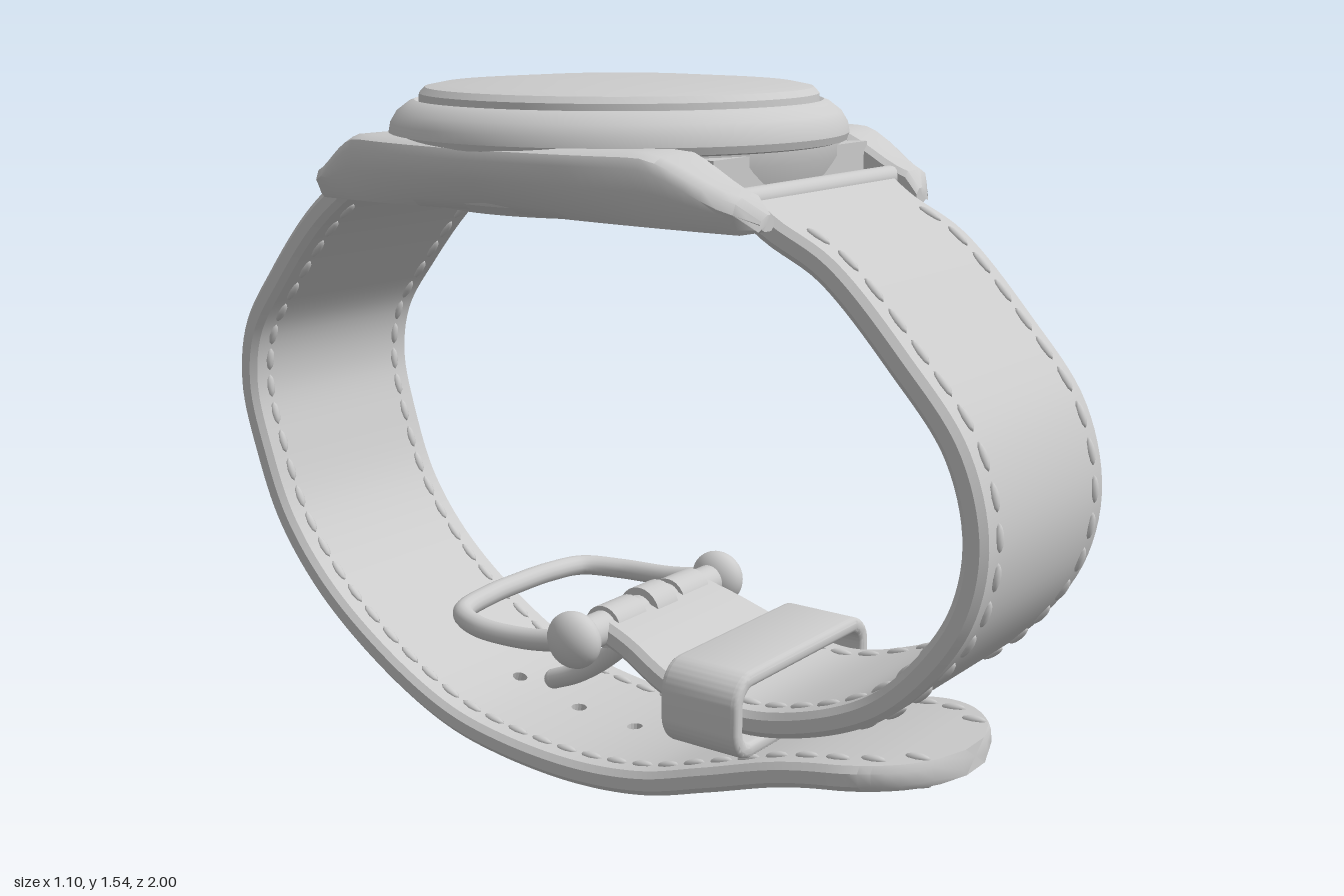
import * as THREE from 'three';
import { mergeGeometries, toCreasedNormals } from 'three/addons/utils/BufferGeometryUtils.js';

const grey = new THREE.MeshStandardMaterial({ color: 0xcccccc });
const greyDouble = new THREE.MeshStandardMaterial({ color: 0xcccccc, side: THREE.DoubleSide });
const V = (x, y, z) => new THREE.Vector3(x, y, z);
const lerp = THREE.MathUtils.lerp;
const smooth = THREE.MathUtils.smoothstep;

function add(parent, name, geometry, x = 0, y = 0, z = 0, material = grey) {
  const mesh = new THREE.Mesh(geometry, material);
  mesh.name = name;
  mesh.position.set(x, y, z);
  parent.add(mesh);
  return mesh;
}

// Skin over closed sections that run clockwise about the travel direction
function loft(rows, skip = () => false) {
  const m = rows[0].length, pts = rows.flat(), index = [];
  for (let i = 0; i < rows.length - 1; i++) for (let j = 0; j < m; j++) {
    if (skip(i, j)) continue;
    const a = i * m + j, b = i * m + (j + 1) % m, d = a + m, c = b + m;
    index.push(a, d, b, b, d, c);
  }
  [0, rows.length - 1].forEach((r, end) => {
    const centre = rows[r].reduce((s, p) => s.add(p), V(0, 0, 0)).divideScalar(m);
    pts.push(centre);
    for (let j = 0; j < m; j++) {
      const a = r * m + j, b = r * m + (j + 1) % m;
      index.push(pts.length - 1, end ? b : a, end ? a : b);
    }
  });
  const g = new THREE.BufferGeometry().setFromPoints(pts);
  g.setIndex(index);
  return toCreasedNormals(g, 0.7);
}

const lathe = (points, segments, crease = 0.45) =>
  toCreasedNormals(new THREE.LatheGeometry(points.map(p => new THREE.Vector2(...p)), segments), crease);

const rod = (r, length) => new THREE.CylinderGeometry(r, r, length, 24).rotateZ(Math.PI / 2);

// Case: round body with bezel, domed glass, flanks that end in lugs, crown
function makeCase() {
  const g = new THREE.Group();
  g.name = 'case';
  g.position.z = -0.04;
  add(g, 'caseBody', lathe([[0, 1.28], [0.41, 1.28], [0.44, 1.3], [0.475, 1.38], [0.475, 1.415]], 96));
  add(g, 'bezel', lathe([[0.47, 1.405], [0.488, 1.41], [0.493, 1.425], [0.489, 1.445], [0.475, 1.468],
    [0.45, 1.487], [0.437, 1.492], [0.428, 1.488]], 96));
  add(g, 'glass', lathe([[0.428, 1.486], [0.427, 1.505], [0.415, 1.518], [0.38, 1.525], [0.2, 1.536], [0, 1.54]], 96));
  add(g, 'caseMiddle', new THREE.BoxGeometry(0.58, 0.115, 0.89), 0, 1.345, 0);

  for (const side of [1, -1]) {
    const rows = [];
    for (let i = 0; i <= 40; i++) {
      const z = lerp(-0.575, 0.575, i / 40), q = Math.abs(z) / 0.575;
      const tip = smooth(q, 0.95, 1);
      const xo = 0.495 - 0.135 * q ** 2.1 - 0.03 * tip;
      const yt = 1.425 - 0.085 * smooth(q, 0.62, 1) - 0.03 * tip;
      const yb = 1.287 - 0.014 * q * q + 0.006 * tip;
      const inset = lerp(0.085, 0.02, q), xi = 0.277;
      const section = [[xi, yt - 0.012], [xi + 0.012, yt], [xo - 0.03, yt], [xo - 0.008, yt - 0.01], [xo, yt - 0.03],
        [xo - inset * 0.15, lerp(yt, yb, 0.5)], [xo - inset * 0.6, lerp(yt, yb, 0.85)],
        [xo - inset, yb], [xi + 0.01, yb], [xi, yb + 0.01]];
      if (side < 0) section.reverse();
      rows.push(section.map(([x, y]) => V(side * x, y, z)));
    }
    add(g, side > 0 ? 'leftFlankAndLugs' : 'rightFlankAndLugs', loft(rows));
    add(g, 'springBar', rod(0.024, 0.58), 0, 1.33, side * 0.505);
  }

  // Crown with ribs pressed into a turned shape
  const crown = new THREE.LatheGeometry([[0, 0], [0.05, 0], [0.058, 0.008], [0.086, 0.045], [0.085, 0.065], [0.072, 0.082],
    [0.062, 0.085], [0.058, 0.094], [0.04, 0.1], [0, 0.102]].map(p => new THREE.Vector2(...p)), 112);
  const p = crown.attributes.position;
  for (let i = 0; i < p.count; i++) {
    const r = Math.hypot(p.getX(i), p.getZ(i));
    const rib = Math.cos(16 * Math.atan2(p.getZ(i), p.getX(i)));
    const k = r > 0.06 ? 1 + 0.06 * THREE.MathUtils.clamp(rib * 2, -1, 0.5) : 1;
    p.setX(i, p.getX(i) * k);
    p.setZ(i, p.getZ(i) * k);
  }
  add(g, 'crown', toCreasedNormals(crown, 0.5).rotateZ(-Math.PI / 2), 0.5, 1.357, 0);
  add(g, 'crownStem', rod(0.04, 0.06), 0.485, 1.357, 0);
  return g;
}

// Strap: a flat band swept along a side path [z, y], with stitches and optional holes
function makeStrap(name, path, dir, width, rowCount, holeZ, stitchEnd) {
  const g = new THREE.Group();
  g.name = name;
  const curve = new THREE.CatmullRomCurve3(path.map(([z, y]) => V(0, y, z)));
  curve.arcLengthDivisions = 800;
  const length = curve.getLength(), X = V(dir, 0, 0), t = 0.027;
  const frame = u => {
    const T = curve.getTangentAt(u);
    return { P: curve.getPointAt(u), T, N: T.clone().cross(X) };
  };
  const place = (f, x, h) => f.P.clone().addScaledVector(X, x).addScaledVector(f.N, h);

  const rows = [], centres = [];
  for (let i = 0; i <= rowCount; i++) {
    const u = i / rowCount, f = frame(u), w = width(u), c = Math.min(0.025, w * 0.3);
    const xs = [-w + 0.012, -w * 0.75, -w * 0.4, -c, c, w * 0.4, w * 0.75, w - 0.012];
    const top = [...xs.map(x => [x, t]), [w, t * 0.5], [w, -t * 0.5]];
    rows.push([...top, ...top.map(([x, h]) => [-x, -h])].map(([x, h]) => place(f, x, h)));
    centres.push(f.P);
  }
  const holes = holeZ.map(z => {
    let best = 0;
    centres.forEach((p, i) => {
      if (p.y < 0.3 && Math.abs(p.z - z) < Math.abs(centres[best].z - z) || best === 0 && p.y < 0.3) best = i;
    });
    return best;
  });
  const skip = (i, j) => (j === 3 || j === 13) && holes.some(h => i === h || i === h - 1);
  add(g, 'band', loft(rows, skip), 0, 0, 0, greyDouble);

  // Round punched holes that fill the skipped squares
  for (const h of holes) {
    const ring = (k, round, up) => {
      const a = k / 16 * Math.PI * 2, c = Math.cos(a), s = Math.sin(a);
      const r = round ? 0.76 : 1 / Math.max(Math.abs(c), Math.abs(s));
      return place(frame((h + s * r) / rowCount), 0.025 * c * r, up * t);
    };
    const tris = [];
    const quad = (a, b, c, d) => tris.push(a, b, c, a, c, d);
    for (let k = 0; k < 16; k++) {
      for (const up of [1, -1]) quad(ring(k, 0, up), ring(k, 1, up), ring(k + 1, 1, up), ring(k + 1, 0, up));
      quad(ring(k, 1, 1), ring(k, 1, -1), ring(k + 1, 1, -1), ring(k + 1, 1, 1));
    }
    const geo = new THREE.BufferGeometry().setFromPoints(tris);
    geo.computeVertexNormals();
    add(g, 'hole', geo, 0, 0, 0, greyDouble);
  }

  // Stitches along both edges, on both faces
  const stitches = [];
  for (let d = 0.16; d < length * stitchEnd; d += 0.072) {
    const f = frame(d / length), x = width(d / length) - 0.052;
    for (const sx of [-1, 1]) for (const sh of [-1, 1]) {
      const q = place(f, sx * x, sh * t);
      const m = new THREE.Matrix4().makeBasis(X, f.N, f.T).setPosition(q);
      stitches.push(new THREE.SphereGeometry(1, 8, 6).scale(0.011, 0.009, 0.029).applyMatrix4(m));
    }
  }
  add(g, 'stitches', mergeGeometries(stitches));
  return g;
}

// Buckle: bar with knobs, U-shaped frame and hanging tongue
function makeBuckle() {
  const g = new THREE.Group();
  g.name = 'buckle';
  const y = 0.36, z = 0.04;
  add(g, 'bar', rod(0.038, 0.54), 0, y, z);
  add(g, 'tongueRing', rod(0.055, 0.075), 0, y, z);
  for (const s of [-1, 1]) {
    add(g, 'knob', new THREE.SphereGeometry(1, 24, 16).scale(0.045, 0.063, 0.066), s * 0.272, y, z);
    add(g, 'strapLoop', rod(0.048, 0.1), s * 0.12, y, z);
  }
  const half = [[0.275, 0.355, 0.03], [0.275, 0.335, -0.1], [0.265, 0.33, -0.24], [0.22, 0.335, -0.325], [0.11, 0.342, -0.343]];
  const loop = [...half, [0, 0.343, -0.346], ...half.map(([a, b, c]) => [-a, b, c]).reverse()];
  add(g, 'frame', new THREE.TubeGeometry(new THREE.CatmullRomCurve3(loop.map(p => V(...p))), 80, 0.024, 14));
  const tongue = new THREE.CatmullRomCurve3([V(0, 0.345, 0.04), V(0, 0.27, -0.02), V(0, 0.2, -0.1), V(0, 0.155, -0.17), V(0, 0.125, -0.24)]);
  add(g, 'tongue', new THREE.TubeGeometry(tongue, 30, 0.024, 14));
  add(g, 'tongueTip', new THREE.SphereGeometry(0.024, 14, 10), 0, 0.125, -0.24);
  return g;
}

// Keeper: rounded rectangular band around the short strap
function makeKeeper() {
  const rounded = (P, hx, hy, r) => {
    const s = new P();
    [[hx - r, hy - r, 0], [r - hx, hy - r, 1], [r - hx, r - hy, 2], [hx - r, r - hy, 3]]
      .forEach(([x, y, q]) => s.absarc(x, y, r, q * Math.PI / 2, (q + 1) * Math.PI / 2, false));
    s.closePath();
    return s;
  };
  const shape = rounded(THREE.Shape, 0.258, 0.083, 0.055);
  shape.holes.push(rounded(THREE.Path, 0.247, 0.071, 0.045));
  const geo = new THREE.ExtrudeGeometry(shape, { depth: 0.165, bevelSize: 0.011, bevelThickness: 0.013, bevelSegments: 3, curveSegments: 8 });
  return toCreasedNormals(geo.translate(0, 0, -0.0825), 0.7);
}

export function createModel() {
  const model = new THREE.Group();
  model.name = 'wristwatch';
  const body = new THREE.Group();
  body.name = 'watch';
  body.position.x = -0.053;
  model.add(body);
  body.add(makeCase());

  const shortPath = [[0.45, 1.325], [0.52, 1.275], [0.64, 1.21], [0.8, 1.05], [0.92, 0.9], [0.965, 0.74], [0.945, 0.6], [0.88, 0.485],
    [0.767, 0.37], [0.61, 0.295], [0.435, 0.255], [0.26, 0.285], [0.13, 0.335], [0.05, 0.36]];
  const longPath = [[-0.53, 1.33], [-0.6, 1.295], [-0.72, 1.205], [-0.85, 1.06], [-0.945, 0.925], [-0.968, 0.79], [-0.93, 0.63], [-0.865, 0.47],
    [-0.745, 0.32], [-0.56, 0.18], [-0.37, 0.085], [-0.22, 0.05], [0, 0.035], [0.19, 0.055], [0.355, 0.105], [0.54, 0.165], [0.7, 0.195], [0.86, 0.208]];
  const shortWidth = u => lerp(0.275, 0.25, u) - 0.02 * smooth(u, 0.68, 0.8) - 0.03 * smooth(u, 0.88, 1);
  const longWidth = u => lerp(0.275, 0.235, u) * Math.sqrt(1 - (0.975 * Math.max(0, (u - 0.93) / 0.07)) ** 2);
  body.add(makeStrap('shortStrap', shortPath, 1, shortWidth, 80, [], 0.9));
  body.add(makeStrap('longStrap', longPath, -1, longWidth, 124, [0.36, 0.18, 0, -0.18, -0.35], 0.985));
  body.add(makeBuckle());
  add(body, 'keeper', makeKeeper(), 0, 0.265, 0.36);
  return model;
}
